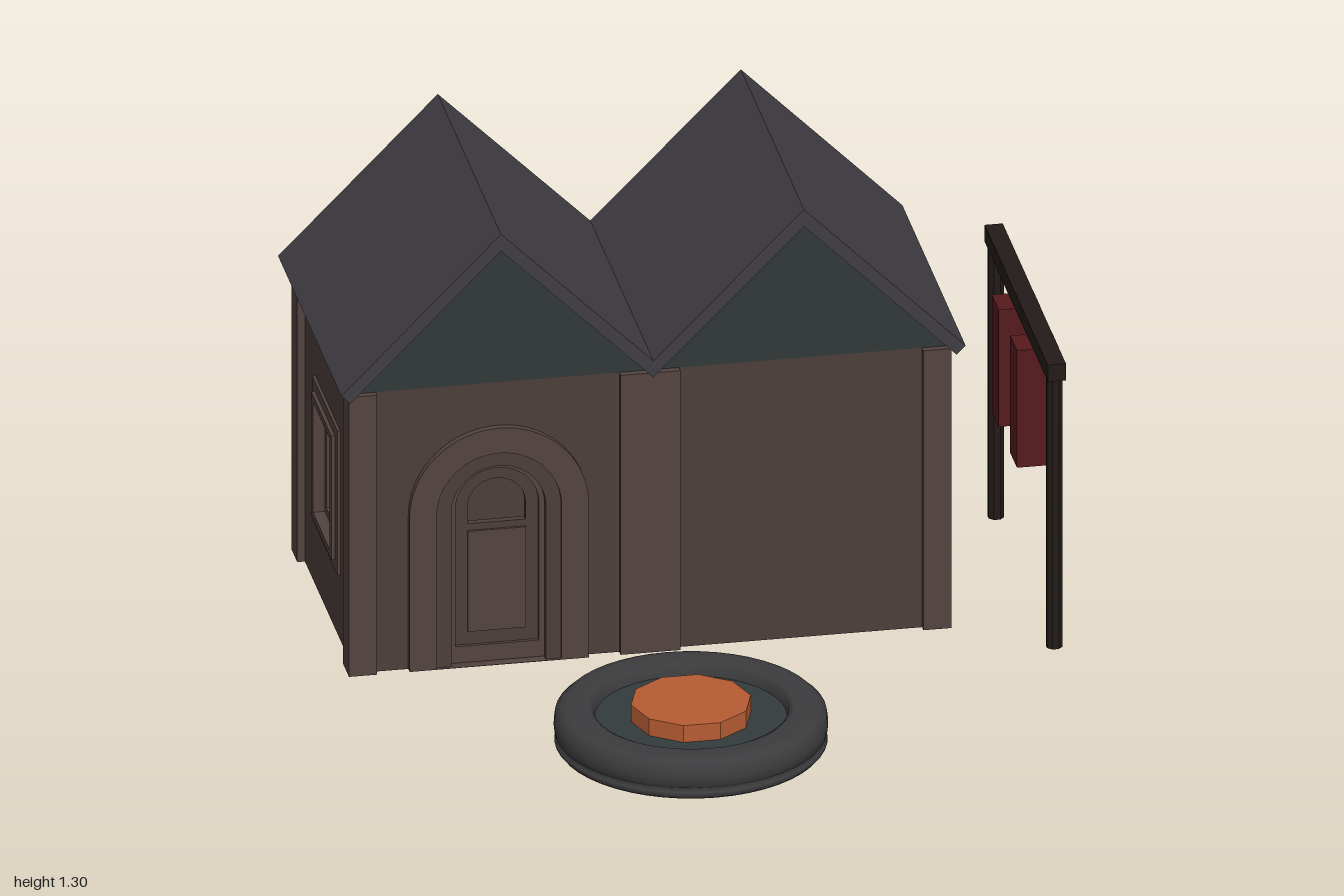
import * as THREE from 'three';

const mat = (color) => new THREE.MeshStandardMaterial({ color, flatShading: true, side: THREE.DoubleSide });

export function createModel() {
  const M = {
    wall: mat(0x4c3e3b), trim: mat(0x524340), gable: mat(0x323837), roof: mat(0x413d43),
    wood: mat(0x231b18), lantern: mat(0x561a1d), stone: mat(0x3c3c3e), ash: mat(0x323b3c),
    ember: mat(0xb55c33), cloth: mat(0xa0182e),
  };
  const model = new THREE.Group();

  const add = (parent, name, geo, material, x = 0, y = 0, z = 0) => {
    const mesh = new THREE.Mesh(geo, material);
    mesh.name = name;
    mesh.position.set(x, y, z);
    parent.add(mesh);
    return mesh;
  };
  const box = (parent, name, material, w, h, d, x, y, z) =>
    add(parent, name, new THREE.BoxGeometry(w, h, d), material, x, y, z);
  const poly = (pts) => new THREE.Shape(pts.map(([x, y]) => new THREE.Vector2(x, y)));
  const rect = (x, y, w, h) =>
    poly([[x - w / 2, y - h / 2], [x + w / 2, y - h / 2], [x + w / 2, y + h / 2], [x - w / 2, y + h / 2]]);
  // Round-headed outline with straight legs
  const arch = (x, r, bottom, spring) => {
    const s = new THREE.Shape();
    s.moveTo(x - r, bottom);
    s.lineTo(x + r, bottom);
    s.lineTo(x + r, spring);
    s.absarc(x, spring, r, 0, Math.PI, false);
    s.lineTo(x - r, bottom);
    return s;
  };
  const slab = (shape, depth, ...holes) => {
    shape.holes.push(...holes);
    return new THREE.ExtrudeGeometry(shape, { depth, bevelEnabled: false, curveSegments: 16 });
  };

  // House: outer wall planes are x -0.95..0.67 and z -0.85..-0.06
  const house = new THREE.Group();
  house.name = 'house';
  model.add(house);
  const H = 0.835, T = 0.04, doorX = -0.557, spring = 0.46;
  const midX = -0.14, midZ = -0.455, W = 1.62, D = 0.79;
  const winY = 0.41, winW = 0.24, winH = 0.33;

  const wall = (name, width, x, z, turn, ...holes) => {
    const g = new THREE.Group();
    g.name = name;
    g.position.set(x, 0, z);
    g.rotation.y = turn;
    house.add(g);
    add(g, name + 'Panel', slab(rect(0, H / 2, width, H), T, ...holes), M.wall, 0, 0, -T);
    return g;
  };
  wall('frontWall', W, midX, -0.06, 0, arch(doorX - midX, 0.13, 0.001, spring));
  wall('leftWall', D, 0.67, midZ, Math.PI / 2);
  const backX = midX - doorX;
  const back = wall('backWall', W, midX, -0.85, Math.PI, rect(backX, winY, winW, winH));
  const side = wall('rightWall', D, -0.95, midZ, -Math.PI / 2, rect(0, winY, winW, winH));

  // Stepped window surround with a sash and central bar
  const addWindow = (parent, x) => {
    const ring = (name, w, h, w2, h2, z, d) =>
      add(parent, name, slab(rect(x, winY, w, h), d, rect(x, winY, w2, h2)), M.trim, 0, 0, z);
    ring('windowSurround', 0.36, 0.43, 0.29, 0.37, 0, 0.008);
    ring('windowFrame', 0.29, 0.37, winW, winH, -0.01, 0.028);
    ring('windowSash', winW, winH, 0.2, 0.29, -0.045, 0.03);
    box(parent, 'windowBar', M.trim, 0.035, winH, 0.03, x, winY, -0.03);
  };
  addWindow(back, backX);
  addWindow(side, 0);

  // Corner pillars and central pilasters
  for (const x of [-0.9325, 0.65]) {
    for (const z of [-0.0825, -0.8275]) box(house, 'cornerPillar', M.trim, 0.077, H, 0.085, x, H / 2, z);
  }
  for (const z of [-0.06, -0.85]) box(house, 'centralPilaster', M.trim, 0.165, H, 0.04, midX, H / 2, z);

  // Arched doorway in two steps
  add(house, 'doorArchOuter', slab(arch(doorX, 0.247, 0, spring), 0.025, arch(doorX, 0.172, 0.001, spring)), M.trim, 0, 0, -0.065);
  add(house, 'doorArchInner', slab(arch(doorX, 0.172, 0, spring), 0.04, arch(doorX, 0.13, 0.001, spring)), M.wall, 0, 0, -0.09);
  // Door leaf with an arched light
  const light = () => arch(doorX, 0.08, 0.41, spring);
  add(house, 'door', slab(arch(doorX, 0.13, 0, spring), 0.02, light()), M.wall, 0, 0, -0.1);
  add(house, 'doorFrame', slab(arch(doorX, 0.13, 0, spring), 0.01, arch(doorX, 0.115, 0.05, spring)), M.trim, 0, 0, -0.08);
  box(house, 'doorPanel', M.trim, 0.16, 0.3, 0.01, doorX, 0.24, -0.078);

  // Gable ends
  for (const x of [-0.56, 0.275]) {
    for (const z of [-0.1, -0.85]) {
      add(house, 'gable', slab(poly([[x - 0.415, 0.835], [x + 0.415, 0.835], [x, 1.26]]), T), M.gable, 0, 0, z);
    }
  }
  // Twin pitched roof in one folded sheet
  const roof = poly([
    [-1, 0.86], [-0.975, 0.835], [-0.56, 1.255], [-0.14, 0.84], [0.275, 1.255], [0.695, 0.835],
    [0.72, 0.86], [0.275, 1.305], [-0.14, 0.89], [-0.56, 1.305],
  ]);
  add(house, 'roof', slab(roof, 0.91), M.roof, 0, 0, -0.91);

  // Red hanging inside the house
  box(house, 'hanging', M.cloth, 0.13, 0.26, 0.05, -0.21, 0.27, -0.47).rotation.y = 0.4;

  // Lantern rack
  const rack = new THREE.Group();
  rack.name = 'lanternRack';
  rack.position.x = 0.94;
  model.add(rack);
  box(rack, 'beam', M.wood, 0.05, 0.05, 0.91, 0, 0.835, -0.29);
  for (const z of [0.125, -0.715]) {
    add(rack, 'post', new THREE.CylinderGeometry(0.023, 0.023, 0.82, 8), M.wood, 0, 0.41, z).rotation.y = Math.PI / 8;
  }
  for (const z of [-0.158, -0.423]) box(rack, 'lantern', M.lantern, 0.115, 0.35, 0.098, 0, 0.605, z);

  // Fire pit: round rim with a groove, recessed bed, faceted embers
  const pit = new THREE.Group();
  pit.name = 'firePit';
  pit.position.set(-0.14, 0, 0.54);
  model.add(pit);
  const rim = [
    [0, 0], [0.362, 0], [0.37, 0.01], [0.368, 0.02], [0.358, 0.027], [0.369, 0.035], [0.372, 0.06],
    [0.368, 0.09], [0.35, 0.107], [0.33, 0.11], [0.28, 0.11], [0.265, 0.102], [0.26, 0.07],
  ].map(([r, y]) => new THREE.Vector2(r, y));
  const stone = M.stone.clone();
  stone.flatShading = false;
  add(pit, 'rim', new THREE.LatheGeometry(rim, 48), stone);
  add(pit, 'ashBed', new THREE.CylinderGeometry(0.262, 0.262, 0.02, 48), M.ash, 0, 0.065, 0);
  add(pit, 'embers', new THREE.CylinderGeometry(0.165, 0.165, 0.065, 10), M.ember, 0, 0.0925, 0).rotation.y = Math.PI / 10;

  return model;
}
